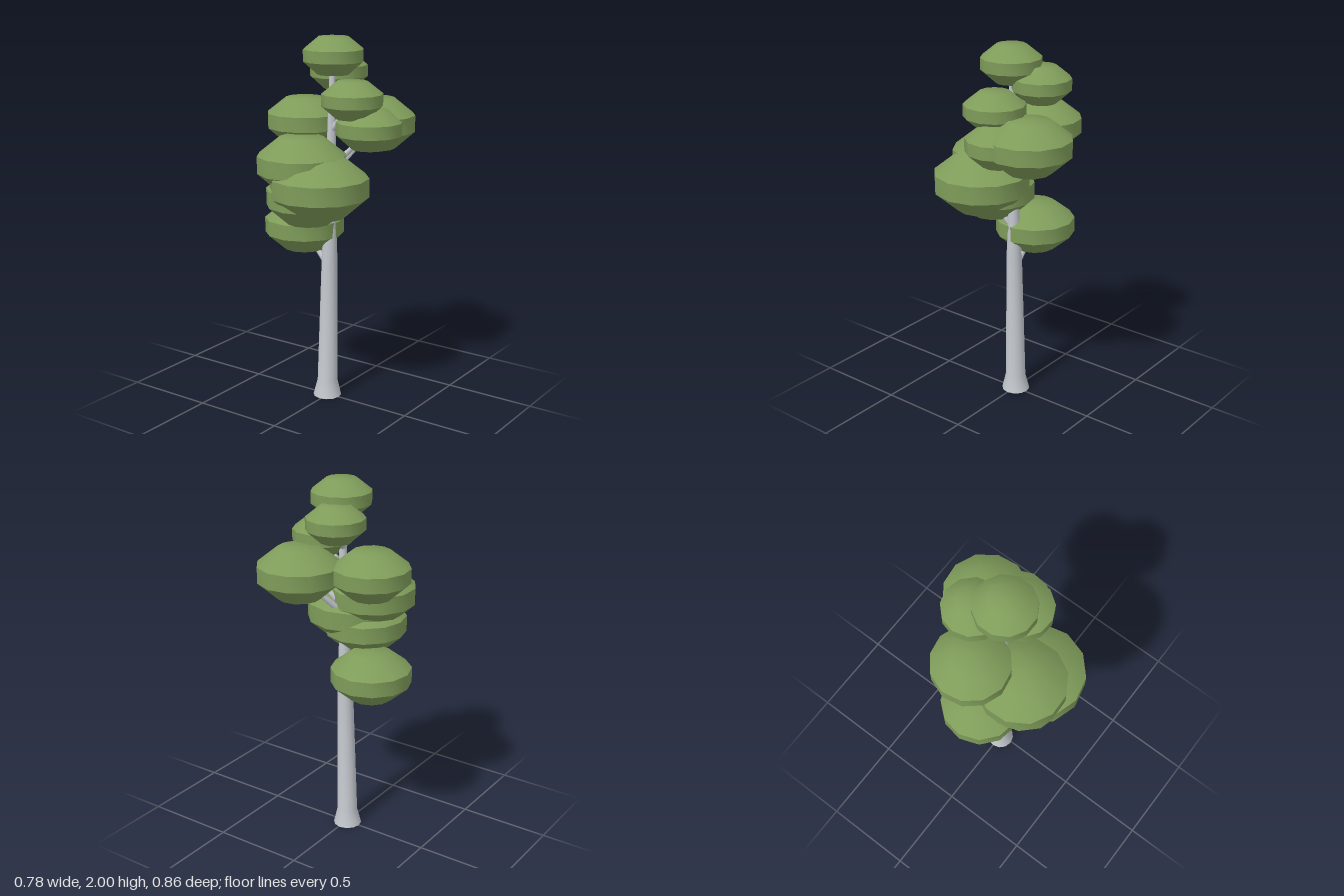
import * as THREE from 'three';
import { toCreasedNormals } from 'three/addons/utils/BufferGeometryUtils.js';

const bark = new THREE.MeshStandardMaterial({ color: 0xc3c8ce, side: THREE.DoubleSide });
bark.name = 'pale bark';
const leaf = new THREE.MeshStandardMaterial({ color: 0x7f9c5a });
leaf.name = 'leaf green';

// Foliage clumps: x, bottom y, z, radius, height, turn in degrees
const clumps = [
  [0.03, 1.805, 0, 0.16, 0.195, 15],
  [-0.035, 1.71, -0.145, 0.155, 0.19, 0],
  [0.155, 1.585, 0.01, 0.162, 0.195, 10],
  [-0.187, 1.415, -0.045, 0.205, 0.247, 25],
  [0.213, 1.42, -0.065, 0.176, 0.215, 8],
  [0.15, 1.397, -0.21, 0.222, 0.27, 22],
  [-0.053, 1.205, 0.172, 0.235, 0.287, 17],
  [0.065, 1.085, 0.175, 0.26, 0.312, -2],
  [-0.015, 1.037, 0.16, 0.225, 0.275, 0],
  [-0.167, 0.835, -0.01, 0.217, 0.257, 5],
];

// Twelve-sided unit clump: flat base, flared underside, upright band, sloped crown
const clumpGeometry = toCreasedNormals(new THREE.LatheGeometry(
  [[0, 0], [0.52, 0], [1, 0.35], [1, 0.67], [0.5, 1], [0, 1]].map(([r, y]) => new THREE.Vector2(r, y)),
  12,
), 0.62);

// The trunk leans slightly toward +x as it rises
const leanX = (y) => -0.008 + 0.018 * y;

function makeTrunk() {
  const profile = [[0.078, 0], [0.056, 0.09], [0.043, 0.8], [0.031, 1.1], [0.021, 1.6], [0.015, 1.86]];
  const geometry = new THREE.LatheGeometry(profile.map(([r, y]) => new THREE.Vector2(r, y)), 12);
  const position = geometry.attributes.position;
  for (let i = 0; i < position.count; i++) {
    position.setX(i, position.getX(i) + leanX(position.getY(i)));
  }
  return new THREE.Mesh(toCreasedNormals(geometry, 0.62), bark);
}

// Tapered branch between two points
function makeBranch(from, to, r0, r1) {
  const mesh = new THREE.Mesh(new THREE.CylinderGeometry(r1, r0, from.distanceTo(to), 7, 1, true), bark);
  mesh.position.addVectors(from, to).multiplyScalar(0.5);
  mesh.quaternion.setFromUnitVectors(new THREE.Vector3(0, 1, 0), to.clone().sub(from).normalize());
  return mesh;
}

export function createModel() {
  const tree = new THREE.Group();
  tree.name = 'tree';

  const trunk = makeTrunk();
  trunk.name = 'trunk';
  tree.add(trunk);

  clumps.forEach(([x, y, z, r, h, turn], i) => {
    const foliage = new THREE.Mesh(clumpGeometry, leaf);
    foliage.name = `foliage${i + 1}`;
    foliage.position.set(x, y, z);
    foliage.scale.set(r, h, r);
    foliage.rotation.y = THREE.MathUtils.degToRad(turn);
    tree.add(foliage);

    // The topmost clump sits straight on the trunk
    if (i === 0) return;
    const startY = y - Math.hypot(x, z) * 0.5;
    const branch = makeBranch(
      new THREE.Vector3(leanX(startY), startY, 0),
      new THREE.Vector3(x, y + h * 0.4, z),
      0.019, 0.01,
    );
    branch.name = `branch${i}`;
    tree.add(branch);
  });

  return tree;
}
